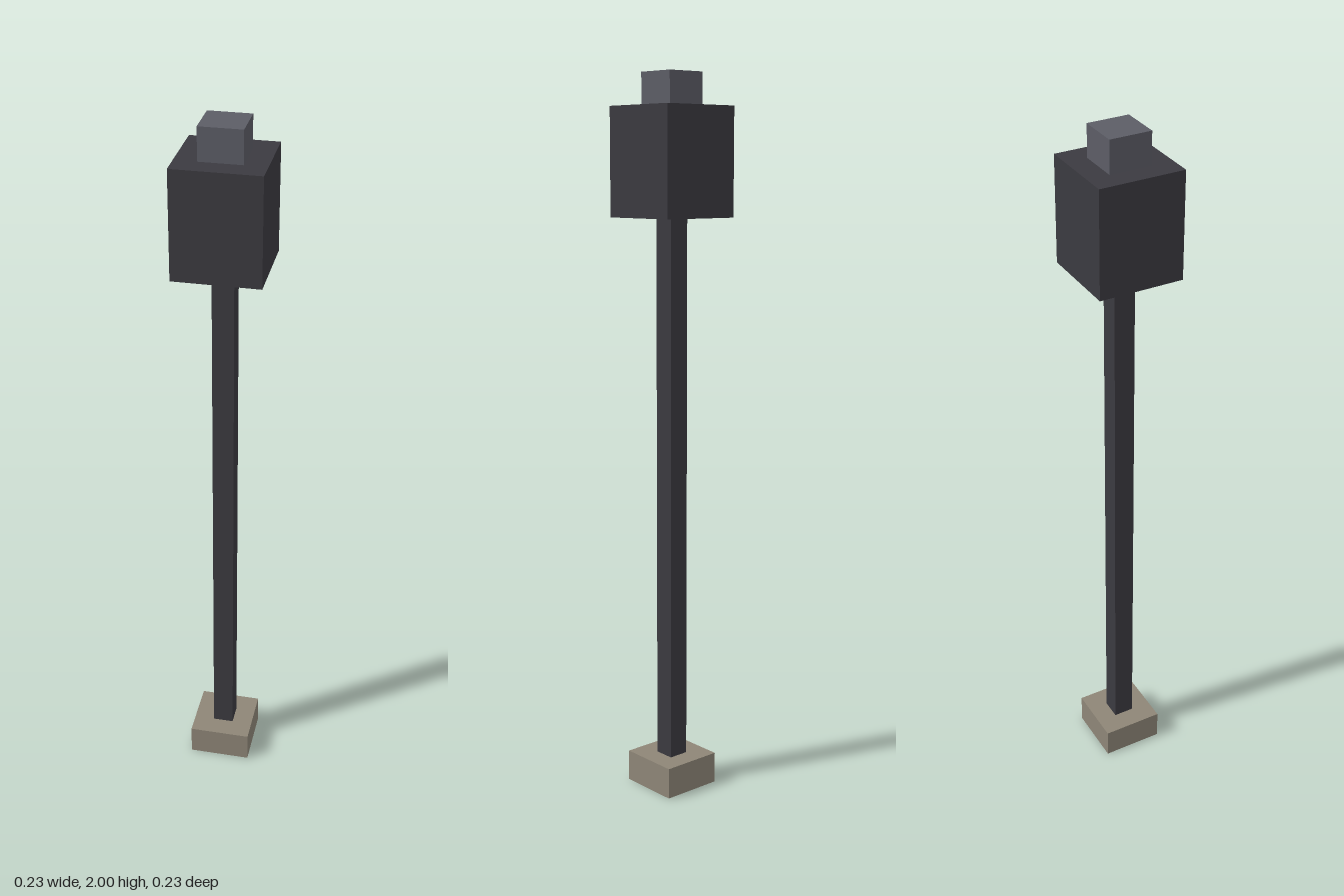
import * as THREE from 'three';

function paint(name, color) {
  const m = new THREE.MeshStandardMaterial({ color });
  m.name = name;
  return m;
}

export function createModel() {
  const group = new THREE.Group();
  group.name = 'lampPost';

  const iron = paint('dark iron', 0x3b3a40);
  const steel = paint('grey steel', 0x5c5d66);
  const stone = paint('warm stone', 0x8e8677);

  // Square block standing between two heights
  function block(name, width, bottom, top, material) {
    const mesh = new THREE.Mesh(new THREE.BoxGeometry(width, top - bottom, width), material);
    mesh.position.y = (bottom + top) / 2;
    mesh.name = name;
    group.add(mesh);
  }

  block('base', 0.176, 0, 0.088, stone);
  block('pole', 0.059, 0.088, 1.618, iron);
  block('lampHead', 0.235, 1.618, 1.912, iron);
  block('cap', 0.115, 1.912, 2, steel);

  return group;
}
